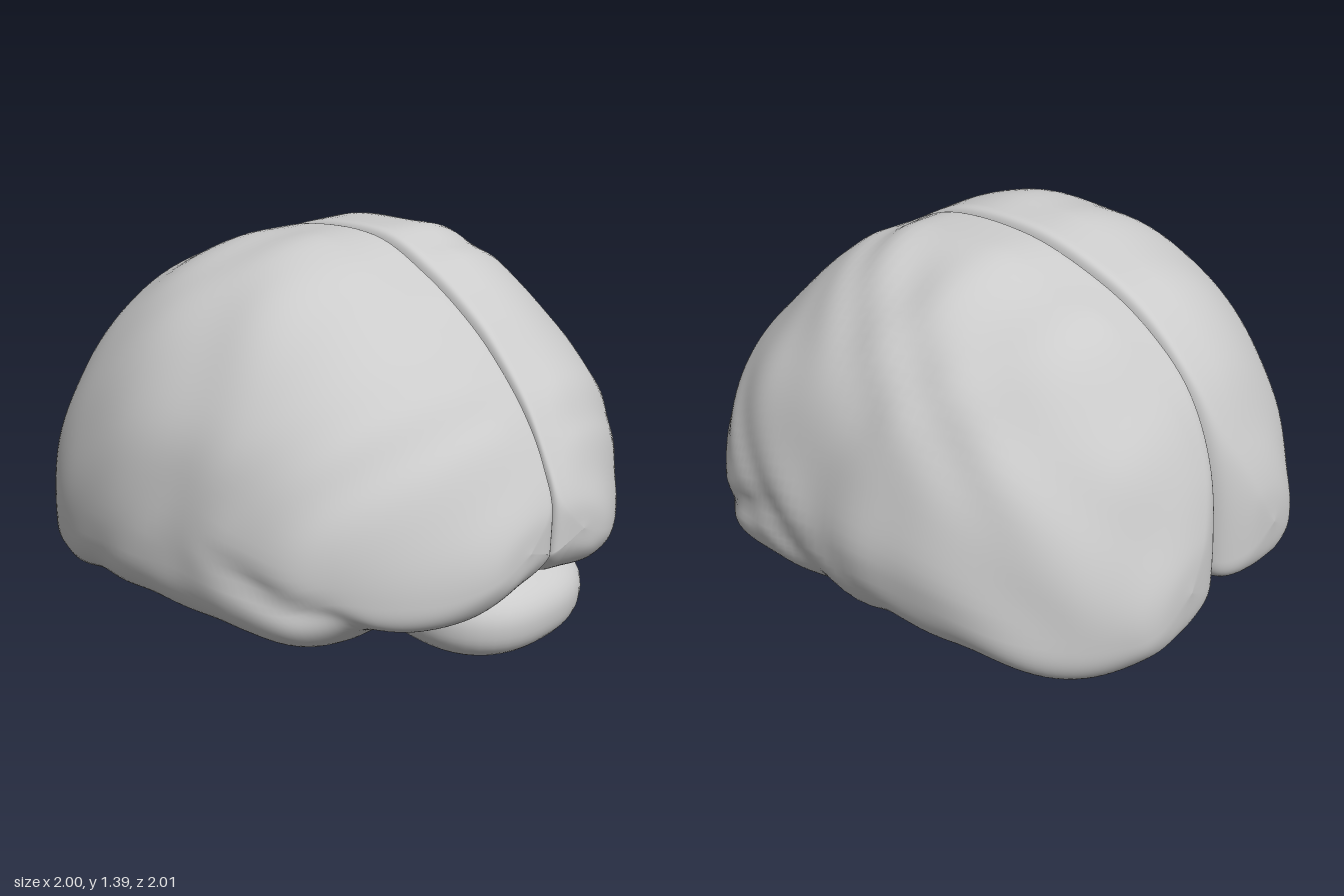
import * as THREE from 'three';
import { mergeVertices } from 'three/addons/utils/BufferGeometryUtils.js';

const material = new THREE.MeshStandardMaterial({ color: 0xcccccc, roughness: 0.8 });

// Cross-sections from one pole to the other: [along, inner edge, outer edge, top, bottom]
const STATIONS = [
  [-1.01, 0.27, 0.27, 0.4, 0.4],
  [-0.99, 0.13, 0.42, 0.56, 0.26],
  [-0.93, 0.03, 0.53, 0.75, 0.18],
  [-0.82, 0.003, 0.67, 0.98, 0.14],
  [-0.65, 0.003, 0.79, 1.17, 0.14],
  [-0.45, 0.003, 0.865, 1.29, 0.18],
  [-0.2, 0.003, 0.9, 1.37, 0.2],
  [0.1, 0.003, 0.885, 1.375, 0.21],
  [0.32, 0.003, 0.86, 1.28, 0.21],
  [0.5, 0.003, 0.815, 1.16, 0.22],
  [0.62, 0.003, 0.72, 1.05, 0.29],
  [0.74, 0.003, 0.58, 0.91, 0.3],
  [0.83, 0.003, 0.43, 0.76, 0.34],
  [0.89, 0.02, 0.29, 0.63, 0.42],
  [0.905, 0.14, 0.14, 0.52, 0.52],
];

const spline = (pick) => new THREE.CatmullRomCurve3(
  STATIONS.map((s) => new THREE.Vector3(...pick(s))), false, 'catmullrom', 0.5);
const sides = spline((s) => [s[0], s[1], s[2]]);
const heights = spline((s) => [s[0], s[3], s[4]]);
const smooth = THREE.MathUtils.smoothstep;
const power = (value, n) => Math.sign(value) * Math.abs(value) ** (2 / n);

// Soft folds plus the slanting groove above the temporal lobe
function foldHeight(u, y, side) {
  const k = side > 0 ? 1.1 : 0.6;
  const p = 0.8 * side;
  const folds = Math.sin(9 * u + 2 * Math.sin(5 * y + p)) * Math.sin(8 * y + 2 * Math.sin(5 * u + p));
  const ridges = Math.sin(17 * u - 9 * y + 2.5 * Math.sin(7 * y - 4 * u + p));
  const off = y - (0.4 + 0.38 * (0.6 - u));
  const groove = Math.exp(-((off / 0.05) ** 2)) * smooth(u, 0.15, 0.45) * (1 - smooth(u, 0.58, 0.7));
  return k * (0.01 * folds + 0.005 * ridges) - 0.022 * groove;
}

// Half of the brain, lofted along its length; side is +1 or -1
function hemisphere(side) {
  const rings = 104, around = 120;
  const positions = [], index = [];
  for (let i = 0; i <= rings; i++) {
    const s = sides.getPoint(i / rings);
    const h = heights.getPoint(i / rings);
    const u = s.x, inner = s.y, outer = Math.max(s.z, inner);
    const top = h.y, bottom = Math.min(h.z, top);
    const vc = inner + 0.2 * (outer - inner);
    const yc = bottom + 0.26 * (top - bottom);
    const arch = 0.2 * smooth(u, -1.1, -0.3) * (1 - 0.8 * smooth(u, 0.45, 0.75));
    const taper = Math.min(1, (outer - inner) / 0.4);
    const splay = 0.24 * (outer - inner) * (1 - smooth(u, -0.9, -0.3));
    // The fissure tightens along the crown and rounds off at the poles
    const crown = 3 + 12 * smooth(u, -0.98, -0.75) * (1 - 0.7 * smooth(u, 0.78, 0.9));
    for (let j = 0; j < around; j++) {
      const a = (j / around) * Math.PI * 2;
      const c = Math.cos(a), sn = Math.sin(a);
      const n = sn > 0 ? (c > 0 ? 1.92 : crown) : (c > 0 ? 3.3 : 2);
      let v = vc + (c > 0 ? outer - vc : vc - inner) * power(c, n);
      let y = yc + (sn > 0 ? top - yc : yc - bottom) * power(sn, n);
      if (sn < 0) {
        // Hollow of the underside next to the midline, and the parting of the rear lobes
        y += arch * Math.abs(power(sn, n)) * (1 - smooth(v, 0.05, 0.6 * outer + 0.06));
        v += splay * sn ** 4 * (1 - Math.max(c, 0));
      }
      const bump = foldHeight(u, y, side) * smooth(v, 0.02, 0.22) * taper;
      v += bump * c;
      y += bump * sn;
      // Slight sideways bow of the fissure
      const bow = 0.05 * Math.max(0, 1 - (u / 0.95) ** 4) * Math.exp(-((v / 0.35) ** 2)) * smooth(y, 0.3, 0.8);
      positions.push(side * v + bow, y, u);
    }
  }
  for (let i = 0; i < rings; i++) {
    for (let j = 0; j < around; j++) {
      const a = i * around + j, b = i * around + (j + 1) % around;
      const d = a + around, e = b + around;
      if (side > 0) index.push(a, b, d, b, e, d);
      else index.push(a, d, b, b, d, e);
    }
  }
  const geometry = new THREE.BufferGeometry();
  geometry.setAttribute('position', new THREE.Float32BufferAttribute(positions, 3));
  geometry.setIndex(index);
  geometry.computeVertexNormals();
  const mesh = new THREE.Mesh(geometry, material);
  mesh.name = side > 0 ? 'leftHemisphere' : 'rightHemisphere';
  return mesh;
}

// Rounded lump; n = 2 is an ellipsoid, larger is fuller, smaller is more pointed
function lump(name, radii, center, n = 2) {
  let geometry = new THREE.SphereGeometry(1, 48, 32);
  geometry.deleteAttribute('uv');
  geometry.deleteAttribute('normal');
  geometry = mergeVertices(geometry);
  const pos = geometry.attributes.position;
  const p = new THREE.Vector3();
  for (let i = 0; i < pos.count; i++) {
    p.fromBufferAttribute(pos, i);
    const r = (Math.abs(p.x) ** n + Math.abs(p.y) ** n + Math.abs(p.z) ** n) ** (1 / n);
    p.divideScalar(r);
    pos.setXYZ(i, p.x * radii[0], p.y * radii[1], p.z * radii[2]);
  }
  geometry.computeVertexNormals();
  const mesh = new THREE.Mesh(geometry, material);
  mesh.name = name;
  mesh.position.set(...center);
  return mesh;
}

export function createModel() {
  const model = new THREE.Group();
  model.name = 'brain';

  // The long axis lies diagonally across the ground plane
  const brain = new THREE.Group();
  brain.name = 'brainParts';
  brain.rotation.y = 0.72;
  brain.position.set(0.04, 0, 0.06);
  model.add(brain);

  brain.add(hemisphere(1), hemisphere(-1));

  const cerebellum = lump('cerebellum', [0.365, 0.174, 0.335], [0.165, 0.178, 0.455], 2.4);
  cerebellum.rotation.x = 0.09;
  brain.add(cerebellum);

  // Core joining the halves, and the stem beneath it
  brain.add(lump('innerCore', [0.42, 0.2, 0.72], [0, 0.53, -0.05]));
  brain.add(lump('brainStem', [0.2, 0.18, 0.24], [0.04, 0.43, -0.03], 1.4));
  brain.add(lump('stemBridge', [0.16, 0.13, 0.3], [0.12, 0.38, 0.18]));

  return model;
}
